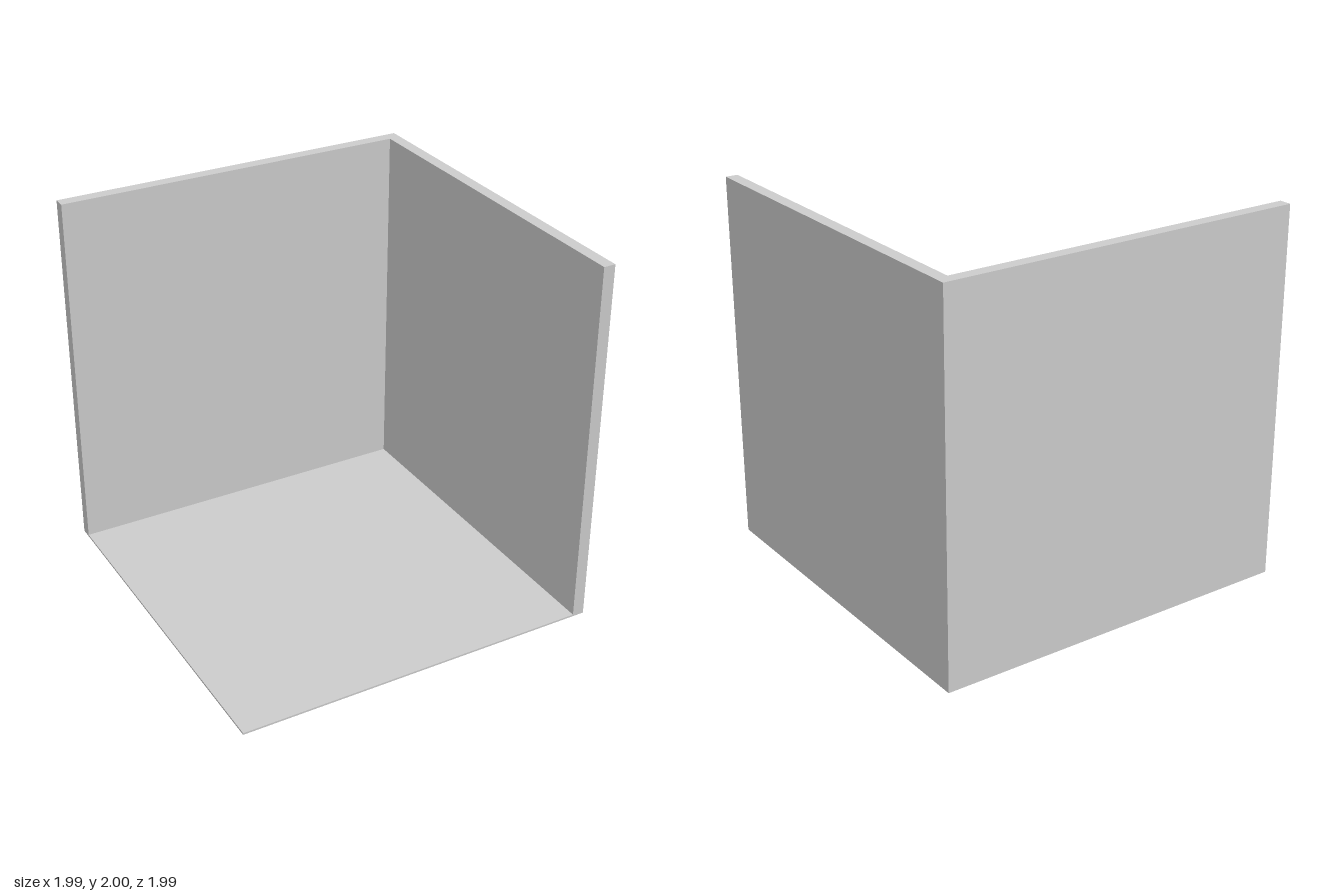
import * as THREE from 'three';

const HALF = 0.995;    // half width and depth
const HEIGHT = 2;
const WALL = 0.065;    // wall thickness
const FLOOR = 0.01;    // floor thickness

export function createModel() {
  const group = new THREE.Group();
  group.name = 'cornerRoom';
  const material = new THREE.MeshStandardMaterial({ color: 0xcccccc, flatShading: true });
  const inner = HALF - WALL;

  // Back and left walls: one L-shaped plan (x, -z) raised to full height
  const plan = new THREE.Shape([
    [-HALF, HALF], [-HALF, inner], [inner, inner],
    [inner, -HALF], [HALF, -HALF], [HALF, HALF],
  ].map(([x, y]) => new THREE.Vector2(x, y)));
  const wallGeometry = new THREE.ExtrudeGeometry(plan, { depth: HEIGHT, bevelEnabled: false });
  wallGeometry.rotateX(-Math.PI / 2);
  const walls = new THREE.Mesh(wallGeometry, material);
  walls.name = 'cornerWalls';
  group.add(walls);

  // Thin floor filling the space inside the walls
  const size = HALF + inner;
  const floor = new THREE.Mesh(new THREE.BoxGeometry(size, FLOOR, size), material);
  floor.position.set(-WALL / 2, FLOOR / 2, WALL / 2);
  floor.name = 'floor';
  group.add(floor);

  return group;
}
